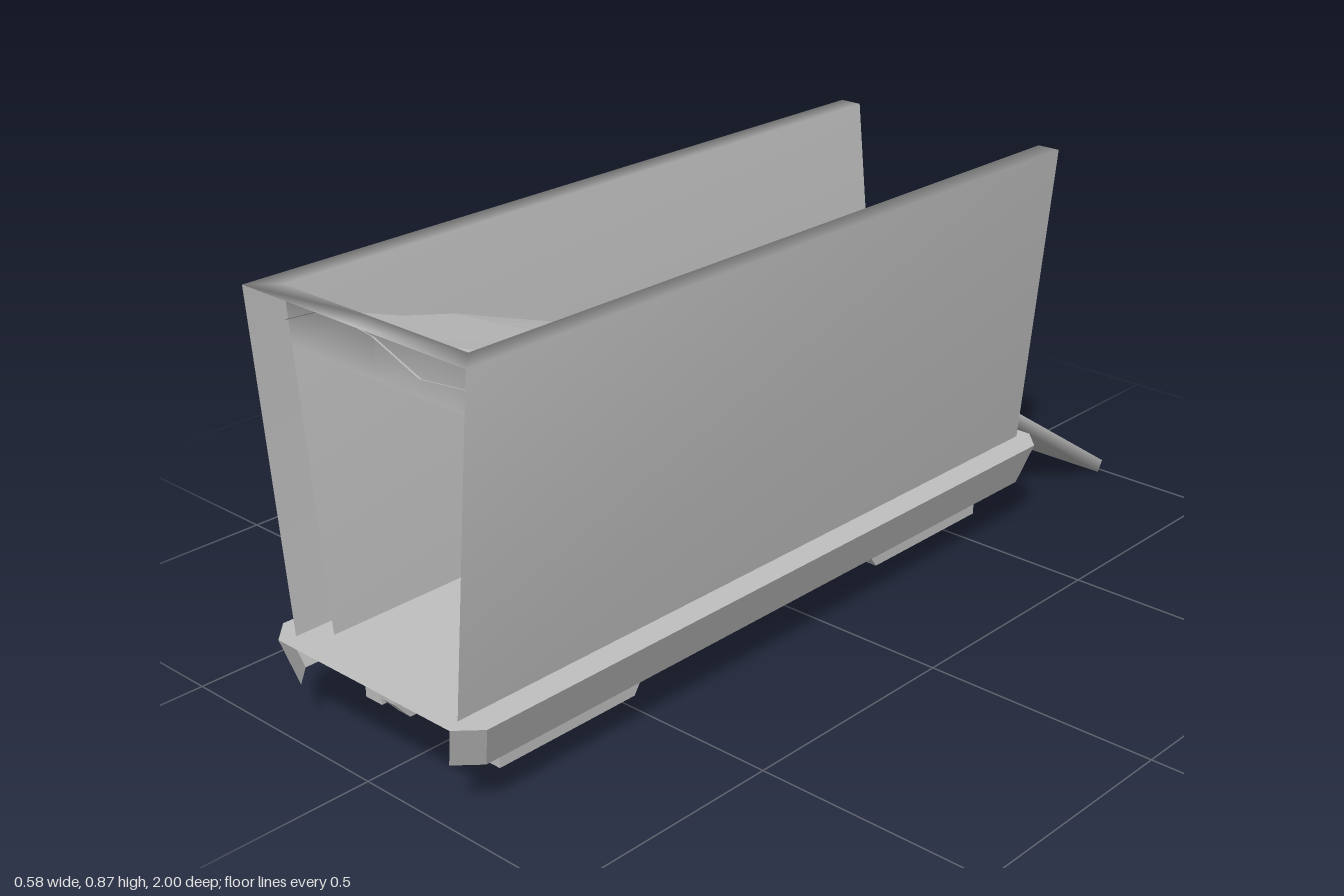
import * as THREE from 'three';
import { mergeVertices } from 'three/addons/utils/BufferGeometryUtils.js';
import { ConvexGeometry } from 'three/addons/geometries/ConvexGeometry.js';

export function createModel() {
  const cart = new THREE.Group();
  cart.name = 'oreCart';
  const grey = new THREE.MeshStandardMaterial({ color: 0xc0c0c0, side: THREE.DoubleSide });
  grey.name = 'plainGrey';

  const add = (name, geometry) => {
    const mesh = new THREE.Mesh(geometry, grey);
    mesh.name = name;
    cart.add(mesh);
    return mesh;
  };
  // Faceted solid around a set of corner points
  const solid = (points) => new ConvexGeometry(points.map((p) => new THREE.Vector3(...p)));
  // Open shell from corner points and polygons, smooth across shared corners
  const shell = (points, polygons) => {
    const g = new THREE.BufferGeometry();
    g.setAttribute('position', new THREE.Float32BufferAttribute(points.flat(), 3));
    g.setIndex(polygons.flatMap((p) => p.slice(2).flatMap((v, i) => [p[0], p[i + 1], v])));
    g.computeVertexNormals();
    return g;
  };
  // The same shell with flat faces
  const facetedShell = (points, polygons) => {
    const g = shell(points, polygons).toNonIndexed();
    g.computeVertexNormals();
    return g;
  };

  // Chassis: floor with a tapered skirt, open below and at the front
  const octagon = (hx, hz, cut, y) => [
    [hx - cut, hz], [hx, hz - cut], [hx, cut - hz], [hx - cut, -hz],
    [cut - hx, -hz], [-hx, cut - hz], [-hx, hz - cut], [cut - hx, hz],
  ].map(([x, z]) => [x, y, z + 0.16]);
  const skirt = [0, 1, 2, 3, 4, 5, 6].map((i) => [i + 8, i + 9, i + 1, i]);
  add('chassis', facetedShell(
    [...octagon(0.28, 0.84, 0.045, 0.2), ...octagon(0.25, 0.82, 0.045, 0.11)],
    [[0, 1, 2, 3, 4, 5, 6, 7], ...skirt],
  ));

  // Hollow body, one half per side: leaning wall, half of the front rim and lintel
  const faces = [
    [0, 2, 3, 1], // outer wall
    [4, 5, 7, 6], // inner wall
    [1, 3, 7, 5], // top edge
    [2, 6, 7, 3], // rear end
    [8, 1, 5, 9], // front rim
    [11, 9, 5, 10], // front lintel
  ];
  for (const s of [1, -1]) {
    const points = [
      [0.222, 0.2, 0.97], [0.29, 0.865, 0.97], [0.222, 0.2, -0.65], [0.29, 0.865, -0.65],
      [0.175, 0.2, 0.92], [0.24, 0.865, 0.92], [0.175, 0.2, -0.65], [0.24, 0.865, -0.65],
      [0, 0.865, 0.97], [0, 0.865, 0.92], [0.229, 0.75, 0.92], [0, 0.75, 0.92],
    ].map(([x, y, z]) => [s * x, y, z]);
    const polygons = faces.map((f) => (s > 0 ? f : [...f].reverse()));
    add(s > 0 ? 'leftBody' : 'rightBody', shell(points, polygons));
  }

  // Rear chute, widening toward its lip
  const chute = [];
  for (const s of [-1, 1]) {
    chute.push([s * 0.172, 0.286, -0.62], [s * 0.172, 0.26, -0.605]);
    chute.push([s * 0.225, 0.025, -1.0], [s * 0.225, 0.0, -0.985]);
  }
  const chuteGeometry = solid(chute);
  chuteGeometry.deleteAttribute('normal');
  const softChute = mergeVertices(chuteGeometry, 1e-4);
  softChute.computeVertexNormals();
  add('rearChute', softChute);

  // Running gear: profile in (z, y), extruded between two x positions
  const slab = (profile, x0, x1) =>
    solid(profile.flatMap(([z, y]) => [[x0, y, z], [x1, y, z]]));
  const wheel = [[0.85, 0.05], [0.815, 0.01], [0.735, 0.01], [0.7, 0.05],
    [0.7, 0.09], [0.735, 0.13], [0.815, 0.13], [0.85, 0.09]];
  const bar = [[0.85, 0.08], [0.85, 0.036], [0.51, 0.036], [0.48, 0.08], [0.49, 0.122], [0.85, 0.122]];
  for (const end of [1, -1]) for (const s of [-1, 1]) {
    const place = (profile) => profile.map(([z, y]) => [0.15 + end * (z - 0.15), y]);
    add('wheel', slab(place(wheel), s * 0.102, s * 0.137));
    add('axleGuard', slab(place(bar), s * 0.14, s * 0.186));
  }

  // Rubble sheet: rows of [z, heights across x], sloping down to the chute
  const rows = [
    [0.925, [0.8, 0.848, 0.832, 0.787, 0.8]],
    [0.55, [0.71, 0.72, 0.705, 0.7, 0.71]],
    [0.2, [0.59, 0.58, 0.585, 0.555, 0.56]],
    [0.0, [0.5, 0.51, 0.513, 0.47, 0.5]],
    [-0.23, [0.44, 0.43, 0.42, 0.39, 0.395]],
    [-0.45, [0.34, 0.35, 0.33, 0.33, 0.33]],
    [-0.64, [0.2, 0.272, 0.27, 0.272, 0.2]],
  ];
  const points = rows.flatMap(([z, heights]) => heights.map((y, c) =>
    [(c / 2 - 1) * (0.178 + (y - 0.2) * 0.105), y, z]));
  const triangles = [];
  for (let r = 0; r < rows.length - 1; r++) for (let c = 0; c < 4; c++) {
    const a = r * 5 + c, b = a + 1, d = a + 5, e = a + 6;
    if ((r + c) % 2) triangles.push([a, b, d], [b, e, d]);
    else triangles.push([a, b, e], [a, e, d]);
  }
  add('rubble', facetedShell(points, triangles));

  // Loose stones half buried in the rubble
  const stones = [[0.2, 0.765, 0.74, 0.062], [-0.195, 0.475, -0.08, 0.035],
    [0.165, 0.345, -0.33, 0.055], [-0.135, 0.285, -0.59, 0.055]];
  stones.forEach(([x, y, z, r], i) => {
    const stone = add('looseStone', new THREE.OctahedronGeometry(r));
    stone.position.set(x, y, z);
    stone.scale.set(0.75, 0.9, 1);
    stone.rotation.set(0.4 + i, 0.7 * i, 0.3);
  });
  return cart;
}
